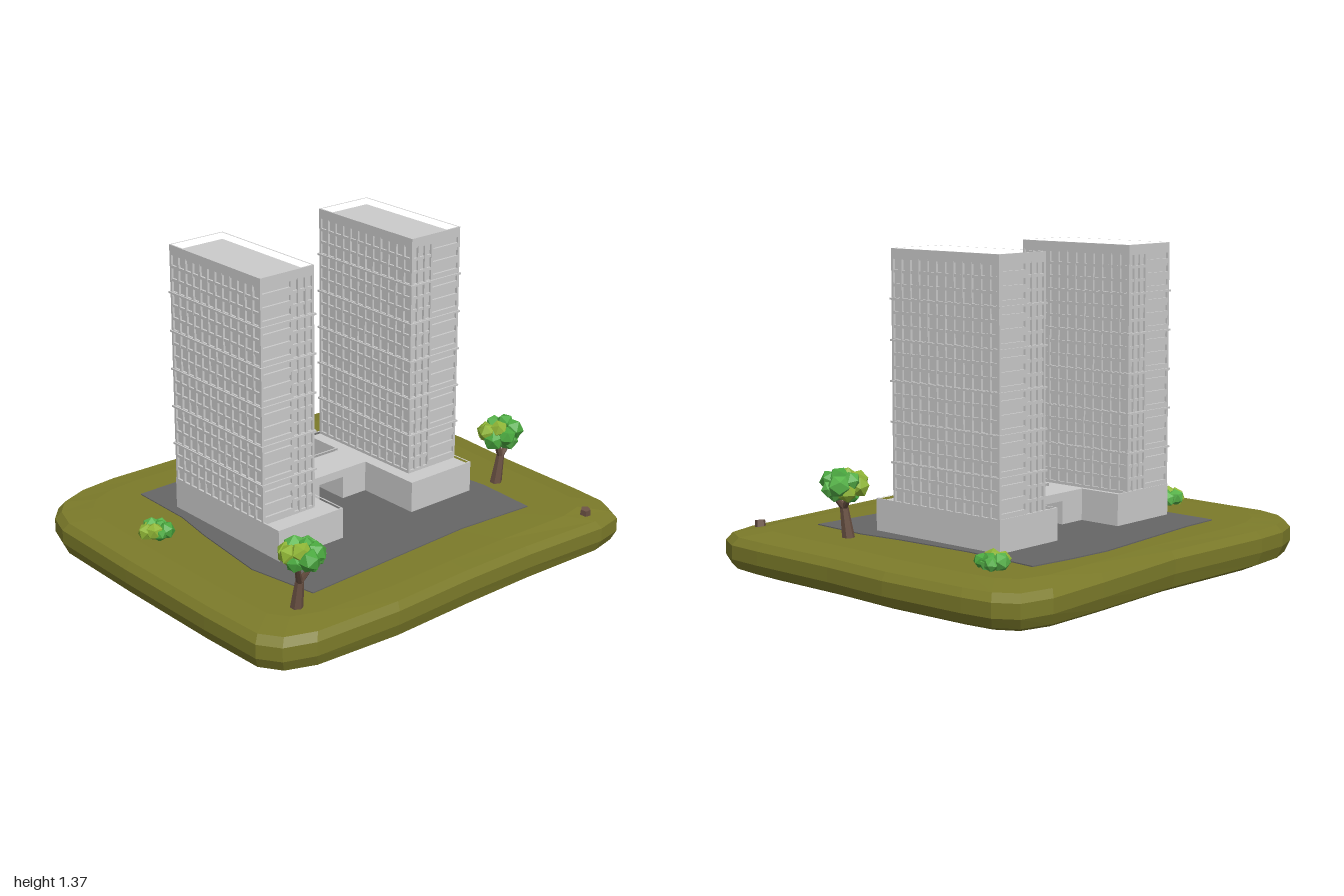
import * as THREE from 'three';
import { mergeGeometries } from 'three/addons/utils/BufferGeometryUtils.js';

const mat = (color) => new THREE.MeshStandardMaterial({ color, flatShading: true });
const concrete = mat(0xcccccc), grass = mat(0x7c7b2a), asphalt = mat(0x666666), bark = mat(0x6b5244);
const greens = [mat(0x4aa83f), mat(0x8fb536), mat(0x57b34a)];

let seed = 7;
const rnd = () => (seed = (seed * 16807) % 2147483647) / 2147483647;

function mesh(name, geometry, material, parent) {
  const m = new THREE.Mesh(geometry, material);
  m.name = name;
  parent.add(m);
  return m;
}

// Box given by its minimum and maximum on each axis
function box(x0, x1, y0, y1, z0, z1) {
  return new THREE.BoxGeometry(x1 - x0, y1 - y0, z1 - z0)
    .translate((x0 + x1) / 2, (y0 + y1) / 2, (z0 + z1) / 2);
}

// Upright slab from a plan outline of [x, z] points, with an optional hole
function slab(plan, y0, y1, hole) {
  const toPts = (p) => p.map(([x, z]) => new THREE.Vector2(x, -z));
  const shape = new THREE.Shape(toPts(plan));
  if (hole) shape.holes.push(new THREE.Path(toPts(hole)));
  return new THREE.ExtrudeGeometry(shape, { depth: y1 - y0, bevelEnabled: false })
    .rotateX(-Math.PI / 2).translate(0, y0, 0);
}
const rect = (x0, x1, z0, z1) => [[x0, z0], [x1, z0], [x1, z1], [x0, z1]];

// Rounded, slightly irregular block of ground lofted from scaled outlines
function groundGeometry() {
  const plan = [[-1, -0.13], [-0.99, -0.61], [-0.95, -0.73], [-0.88, -0.81], [-0.75, -0.86], [-0.575, -0.875],
    [0, -0.855], [0.48, -0.88], [0.78, -0.885], [0.92, -0.845], [0.975, -0.75], [0.99, -0.61], [1, -0.2],
    [0.98, 0.13], [0.975, 0.56], [0.965, 0.73], [0.91, 0.835], [0.78, 0.865], [0.35, 0.855], [0, 0.86],
    [-0.4, 0.875], [-0.8, 0.85], [-0.93, 0.8], [-0.99, 0.71], [-1, 0.4]];
  const rings = [[0.92, 0.004], [0.98, 0.03], [1, 0.08], [1, 0.14], [0.975, 0.172], [0.86, 0.184]];
  const n = plan.length, pos = [], idx = [];
  rings.forEach(([s, y], r) => plan.forEach(([x, z]) => {
    const wave = r > 1 && r < 5 ? 0.007 * Math.cos(2.5 * x) - 0.004 * x : 0;
    pos.push(x * s, y + wave, z * s);
  }));
  for (let r = 0; r < rings.length - 1; r++) for (let i = 0; i < n; i++) {
    const a = r * n + i, d = r * n + (i + 1) % n;
    idx.push(a, a + n, d + n, a, d + n, d);
  }
  const bottom = rings.length * n, top = bottom + 1, last = (rings.length - 1) * n;
  pos.push(0, 0, 0, 0, 0.186, 0);
  for (let i = 0; i < n; i++) {
    const j = (i + 1) % n;
    idx.push(bottom, i, j, top, last + j, last + i);
  }
  const g = new THREE.BufferGeometry();
  g.setAttribute('position', new THREE.Float32BufferAttribute(pos, 3));
  g.setIndex(idx);
  g.computeVertexNormals();
  return g;
}

// High-rise slab with window grids, floor ledges and a roof parapet
function tower(side, parent) {
  const g = new THREE.Group();
  g.name = side > 0 ? 'leftTower' : 'rightTower';
  const X0 = 0.265, X1 = 0.54, Z0 = -0.395, Z1 = 0.2, Y0 = 0.32, YT = 1.335, d = 0.01;
  const add = (list, x0, x1, ...rest) =>
    list.push(side > 0 ? box(x0, x1, ...rest) : box(-x1, -x0, ...rest));
  const core = [], mullions = [], bands = [], ledges = [];
  add(core, X0 + d, X1 - d, Y0, 1.342, Z0 + d, Z1 - d);

  // Upright bars: twelve bays on the long sides, a few bays at the ends
  const cols = 12, w = 0.011;
  for (let i = 0; i <= cols; i++) {
    const z = Z0 + (Z1 - Z0 - w) * i / cols;
    add(mullions, X0, X0 + d, Y0, YT, z, z + w);
    add(mullions, X1 - d, X1, Y0, YT, z, z + w);
  }
  for (const x of [X0, 0.3, 0.338, 0.375, X1 - w]) {
    add(mullions, x, x + w, Y0, YT, Z0, Z0 + d);
    add(mullions, x, x + w, Y0, YT, Z1 - d, Z1);
  }

  // Six storey groups of three rows, each group parted by a projecting ledge
  const step = (YT - Y0) / 18;
  for (let r = 0; r <= 18; r++) {
    const y = Y0 + r * step;
    add(bands, X0 + 0.001, X1 - 0.001, y - 0.006, y + 0.006, Z0 + 0.001, Z1 - 0.001);
    if (r % 3 === 0 && r > 0 && r < 18) add(ledges, X0 - 0.006, X1 + 0.006, y - 0.004, y + 0.004, Z0 - 0.006, Z1 + 0.006);
    // Balcony fronts on the outer part of both ends
    if (r < 18) for (const [za, zb] of [[Z0, Z0 + d], [Z1 - d, Z1]])
      add(bands, 0.386, X1, y + 0.006, y + 0.026, za, zb);
  }
  mesh('towerCore', mergeGeometries(core), concrete, g);
  mesh('windowMullions', mergeGeometries(mullions), concrete, g);
  mesh('floorBands', mergeGeometries(bands), concrete, g);
  mesh('floorLedges', mergeGeometries(ledges), concrete, g);
  const [a, b] = side > 0 ? [X0, X1] : [-X1, -X0];
  mesh('roofParapet', slab(rect(a, b, Z0, Z1), YT, 1.372, rect(a + 0.007, b - 0.007, Z0 + 0.007, Z1 - 0.007)), concrete, g);
  parent.add(g);
}

// H-shaped base with a passage through the link
function podium(parent) {
  const g = new THREE.Group();
  g.name = 'podium';
  const wings = [box(-0.54, -0.197, 0.17, 0.312, -0.398, 0.3), box(0.192, 0.54, 0.17, 0.312, -0.398, 0.3)];
  mesh('podiumWings', mergeGeometries(wings), concrete, g);
  const link = [box(-0.197, -0.07, 0.17, 0.312, -0.2, 0), box(0.062, 0.192, 0.17, 0.312, -0.2, 0),
    box(-0.07, 0.062, 0.29, 0.312, -0.2, 0)];
  mesh('podiumLink', mergeGeometries(link), concrete, g);
  const outline = (i) => {
    const l = -0.54 + i, li = -0.197 - i, ri = 0.192 + i, r = 0.54 - i;
    const b = -0.398 + i, f = 0.3 - i, lb = -0.2 + i, lf = -i;
    return [[l, b], [li, b], [li, lb], [ri, lb], [ri, b], [r, b], [r, f], [ri, f], [ri, lf], [li, lf], [li, f], [l, f]];
  };
  mesh('podiumParapet', slab(outline(0), 0.312, 0.326, outline(0.007)), concrete, g);
  parent.add(g);
}

// Tapered branch running through a few points
function limb(points, r0, r1) {
  const parts = [], n = points.length - 1;
  for (let i = 0; i < n; i++) {
    const a = new THREE.Vector3(...points[i]), b = new THREE.Vector3(...points[i + 1]);
    const dir = b.clone().sub(a), len = dir.length();
    const q = new THREE.Quaternion().setFromUnitVectors(new THREE.Vector3(0, 1, 0), dir.normalize());
    const r = (t) => r0 + (r1 - r0) * t / n;
    parts.push(new THREE.CylinderGeometry(r(i + 1), r(i), len, 6).applyQuaternion(q)
      .translate((a.x + b.x) / 2, (a.y + b.y) / 2, (a.z + b.z) / 2));
  }
  return mergeGeometries(parts);
}

// Cluster of faceted leaf blobs filling an ellipsoid
function foliage(name, [cx, cy, cz], [rx, ry, rz], count, size, parent) {
  const g = new THREE.Group();
  g.name = name;
  for (let i = 0; i < count; i++) {
    const t = 1 - 2 * (i + 0.5) / count, a = i * 2.4, s = Math.sqrt(1 - t * t);
    const r = size * (0.85 + 0.3 * rnd());
    const blob = mesh('leafBlob', new THREE.IcosahedronGeometry(r, 0), greens[i % 3], g);
    blob.position.set(cx + (rx - size) * s * Math.cos(a), cy + (ry - size) * t, cz + (rz - size) * s * Math.sin(a));
    blob.rotation.set(rnd() * 6, rnd() * 6, rnd() * 6);
  }
  parent.add(g);
}

// Forked tree: trunk base, fork and canopy centre
function tree(base, fork, top, radii, parent) {
  const g = new THREE.Group();
  g.name = 'tree';
  const mid = base.map((v, i) => v * 0.5 + fork[i] * 0.5);
  mesh('trunk', limb([base, mid, fork], 0.028, 0.018), bark, g);
  for (const [dx, dz] of [[-0.055, 0.035], [0.055, 0.03], [0.01, -0.055]])
    mesh('branch', limb([fork, [top[0] + dx, top[1] - 0.02, top[2] + dz]], 0.015, 0.008), bark, g);
  foliage('canopy', top, radii, 13, 0.043, g);
  parent.add(g);
}

export function createModel() {
  const model = new THREE.Group();
  model.name = 'twinTowerBlock';

  mesh('ground', groundGeometry(), grass, model);
  const paving = [[-0.58, -0.61], [-0.4, -0.612], [-0.1, -0.64], [0.2, -0.668], [0.4, -0.655], [0.61, -0.63],
    [0.585, -0.27], [0.605, 0.1], [0.63, 0.3], [0.615, 0.58], [0.25, 0.555], [-0.1, 0.572], [-0.61, 0.598],
    [-0.665, 0.28], [-0.62, -0.1], [-0.585, -0.3]];
  mesh('pavedYard', slab(paving, 0.16, 0.189), asphalt, model);

  podium(model);
  for (const side of [-1, 1]) tower(side, model);

  tree([-0.73, 0.17, 0.64], [-0.73, 0.3, 0.66], [-0.737, 0.43, 0.685], [0.1, 0.072, 0.105], model);
  tree([0.7, 0.17, 0.3], [0.715, 0.31, 0.31], [0.735, 0.41, 0.285], [0.115, 0.08, 0.1], model);
  foliage('backLeftBush', [0.725, 0.212, -0.53], [0.08, 0.045, 0.085], 9, 0.035, model);
  foliage('rightBush', [-0.77, 0.212, -0.23], [0.08, 0.045, 0.08], 9, 0.035, model);

  // Small cut stump near the front corner
  const stump = mesh('stump', new THREE.CylinderGeometry(0.022, 0.026, 0.05, 5), bark, model);
  stump.position.set(0.765, 0.177, 0.778);
  stump.rotation.set(0.1, 0.6, 0.08);
  return model;
}
